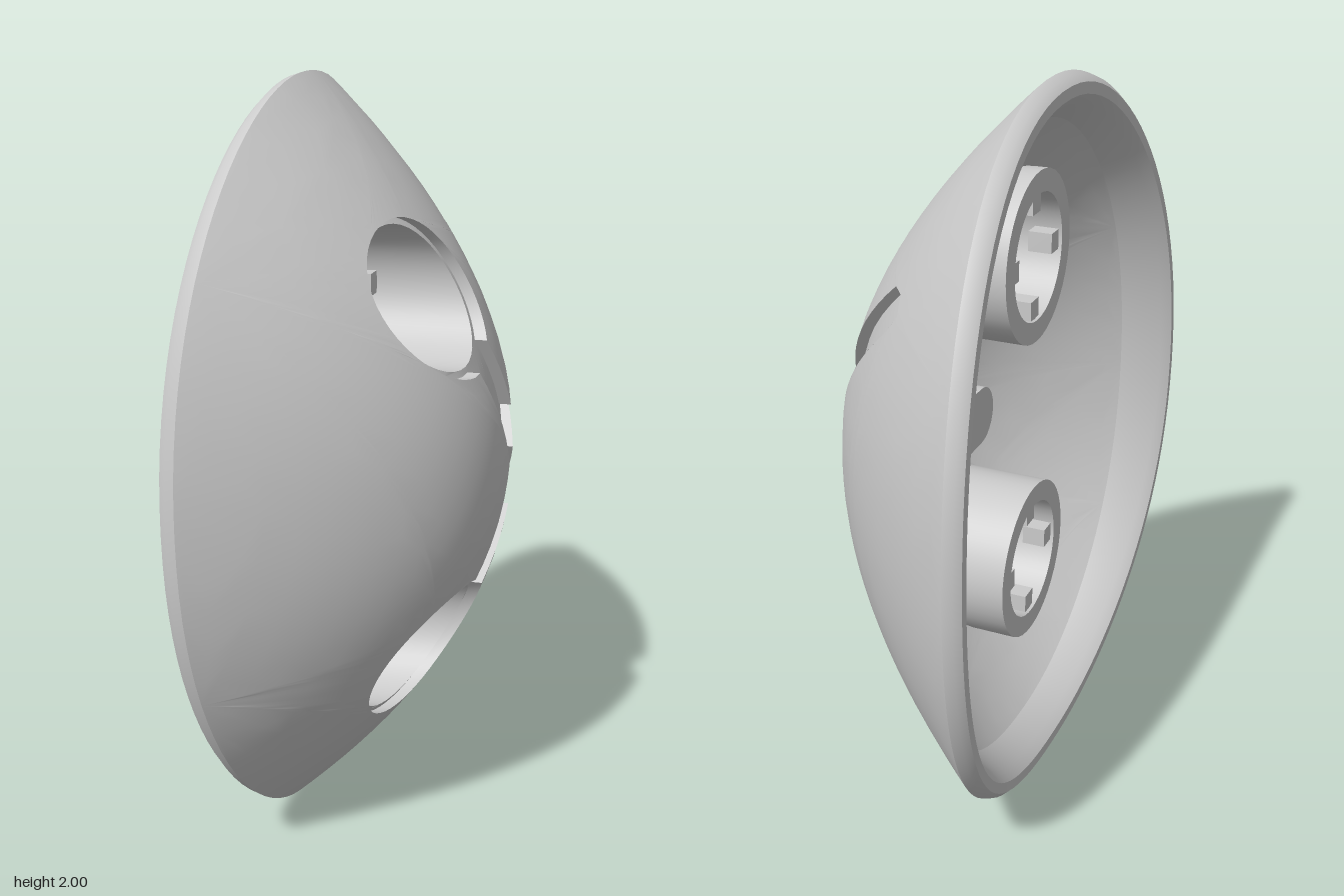
import * as THREE from 'three';
import { mergeVertices, toCreasedNormals } from 'three/addons/utils/BufferGeometryUtils.js';

// The dome bulges towards +x. Flat outlines are drawn in (s, y) with s = -z,
// so a counter-clockwise outline faces +x.
const PEAK = 0.345, APEX_Z = 0.04, HALF_Z = 0.78, POWER = 2.1;
const GROOVE = 0.032, THICK = 0.07, MAX_EDGE = 0.08;
const HOLES = [[-0.22, 1.47], [-0.22, 0.53]];
const LIP_R = 0.195, BORE_R = 0.178, TUBE_R = 0.24, TUBE_BACK = -0.1;

const grey = new THREE.MeshStandardMaterial({ color: 0xcccccc, side: THREE.DoubleSide });
const V2 = (x, y) => new THREE.Vector2(x, y);
const spanZ = side => (side > 0 ? HALF_Z - APEX_Z : HALF_Z + APEX_Z);
const rimX = u => -0.2 - 0.08 * u * u - 0.02 * u;

// Outer surface height over a point of the oval
function height(s, y) {
  const d = -s - APEX_Z, u = d / spanZ(d), v = y - 1;
  const t = Math.pow(Math.abs(u) ** POWER + Math.abs(v) ** POWER, 1 / POWER);
  if (t < 1e-6) return PEAK;
  const k = u / t;
  return PEAK - (PEAK - rimX(k)) * Math.pow(t, 2 + 0.4 * Math.max(0, k) ** 2);
}

const lift = (p, drop) => new THREE.Vector3(height(p.x, p.y) - drop, p.y, -p.x);
const level = (p, x) => new THREE.Vector3(x, p.y, -p.x);

// Oval outline scaled by t; each point also carries its rim height
function oval(t, n = 96) {
  return Array.from({ length: n }, (_, i) => {
    const a = i / n * Math.PI * 2, c = -Math.cos(a), q = Math.sin(a);
    const u = Math.sign(c) * Math.abs(c) ** (2 / POWER);
    const v = Math.sign(q) * Math.abs(q) ** (2 / POWER);
    const p = V2(-(APEX_Z + t * u * spanZ(u)), 1 + t * v);
    p.rim = rimX(u);
    return p;
  });
}

function arc([cx, cy], r, from = 0, to = Math.PI * 2, n = 40) {
  return Array.from({ length: n }, (_, i) => {
    const a = from + (to - from) * i / n;
    return V2(cx + r * Math.cos(a), cy + r * Math.sin(a));
  });
}

// Add points so that no side of a closed outline is longer than 0.05
function densify(points) {
  return points.flatMap((p, i) => {
    const q = points[(i + 1) % points.length], n = Math.ceil(p.distanceTo(q) / 0.05);
    return Array.from({ length: n }, (_, k) => p.clone().lerp(q, k / n));
  });
}

// Fill an outline, split it finely and lay it on the dome
function drape(outline, holes, drop, flip = false) {
  const shape = new THREE.Shape(outline);
  shape.holes = holes.map(h => new THREE.Path(h));
  const flat = new THREE.ShapeGeometry(shape).toNonIndexed().attributes.position;
  const at = i => V2(flat.getX(i), flat.getY(i));
  const todo = [], out = [];
  for (let i = 0; i < flat.count; i += 3) todo.push([at(i), at(i + 1), at(i + 2)]);
  while (todo.length) {
    const tri = todo.pop();
    const sides = tri.map((p, i) => p.distanceTo(tri[(i + 1) % 3]));
    const longest = Math.max(...sides);
    if (longest > MAX_EDGE) {
      // Halve the triangle across its longest side
      const i = sides.indexOf(longest);
      const a = tri[i], b = tri[(i + 1) % 3], c = tri[(i + 2) % 3];
      const m = a.clone().add(b).multiplyScalar(0.5);
      todo.push([a, m, c], [m, b, c]);
    } else {
      if (flip) tri.reverse();
      for (const p of tri) out.push(...lift(p, drop).toArray());
    }
  }
  const g = new THREE.BufferGeometry();
  g.setAttribute('position', new THREE.Float32BufferAttribute(out, 3));
  const merged = mergeVertices(g, 1e-5);
  merged.computeVertexNormals();
  return merged;
}

// Join closed loops of equal length with quads
function skin(loops) {
  const n = loops[0].length, index = [];
  for (let r = 0; r < loops.length - 1; r++) {
    for (let i = 0; i < n; i++) {
      const j = (i + 1) % n, a = r * n + i, b = a + n, c = r * n + n + j, d = r * n + j;
      index.push(a, b, c, a, c, d);
    }
  }
  const g = new THREE.BufferGeometry().setFromPoints(loops.flat());
  g.setIndex(index);
  return toCreasedNormals(g, 0.6);
}

// Crossed groove running into the two round openings, as one outline
function grooveOutline() {
  const upper = [
    V2(0.43, 1.47), V2(0.445, 1.52), V2(0.41, 1.56), V2(0.36, 1.56), V2(0.03, 1.14),
    ...arc(HOLES[0], LIP_R, -0.748, 4.869), V2(-0.19, 1.28),
  ];
  const lower = upper.map(p => V2(p.x, 2 - p.y)).reverse();
  return densify([V2(0.1, 1), ...upper, V2(-0.05, 1), ...lower]);
}

export function createModel() {
  const model = new THREE.Group();
  const add = (name, geometry, parent = model) => {
    const mesh = new THREE.Mesh(geometry, grey);
    mesh.name = name;
    parent.add(mesh);
    return mesh;
  };

  // Outer dome with the groove cut out, groove walls and floor
  const groove = grooveOutline();
  add('outerDome', drape(oval(1), [groove], 0));
  add('grooveWall', skin([groove.map(p => lift(p, GROOVE)), groove.map(p => lift(p, 0))]));
  add('grooveFloor', drape(groove, HOLES.map(c => arc(c, BORE_R)), GROOVE));

  // Rolled rim from the outer edge round to the inner surface
  const rimProfile = [[1, 0], [0.992, -0.025], [0.975, -0.042], [0.945, -0.042], [0.92, -0.015]];
  const rimLoops = rimProfile.map(([t, dx]) => oval(t).map(p => level(p, p.rim + dx)));
  rimLoops.push(oval(0.88).map(p => lift(p, THICK)));
  add('rim', skin(rimLoops));

  // Inner surface and the rounded block behind the crossing
  const block = densify([
    ...arc([0.095, 1], 0.085, -Math.PI / 2, Math.PI / 2, 12), V2(0.095, 1.085),
    ...arc([-0.155, 1], 0.085, Math.PI / 2, Math.PI * 1.5, 12), V2(-0.155, 0.915),
  ]);
  add('innerDome', drape(oval(0.88), [block, ...HOLES.map(c => arc(c, TUBE_R))], THICK, true));
  add('centreBlockSide', skin([block.map(p => lift(p, THICK)), block.map(p => level(p, 0.04))]));
  const blockBack = new THREE.ShapeGeometry(new THREE.Shape(block));
  blockBack.rotateY(Math.PI / 2);
  blockBack.translate(0.04, 0, 0);
  blockBack.index.array.reverse();
  blockBack.computeVertexNormals();
  add('centreBlockBack', blockBack);

  // Sockets: thick tubes with four teeth each
  HOLES.forEach((c, k) => {
    const socket = new THREE.Group();
    socket.name = k ? 'lowerSocket' : 'upperSocket';
    model.add(socket);
    const outer = arc(c, TUBE_R), bore = arc(c, BORE_R);
    add('tube', skin([
      outer.map(p => lift(p, THICK)), outer.map(p => level(p, TUBE_BACK)),
      bore.map(p => level(p, TUBE_BACK)), bore.map(p => lift(p, GROOVE)),
    ]), socket);
    for (let i = 0; i < 4; i++) {
      const a = i * Math.PI / 2;
      const tooth = add('tooth', new THREE.BoxGeometry(0.07, 0.058, 0.06), socket);
      tooth.position.set(-0.055, c[1] + 0.152 * Math.sin(a), -c[0] + 0.152 * Math.cos(a));
      tooth.rotation.x = -a;
    }
  });
  return model;
}
